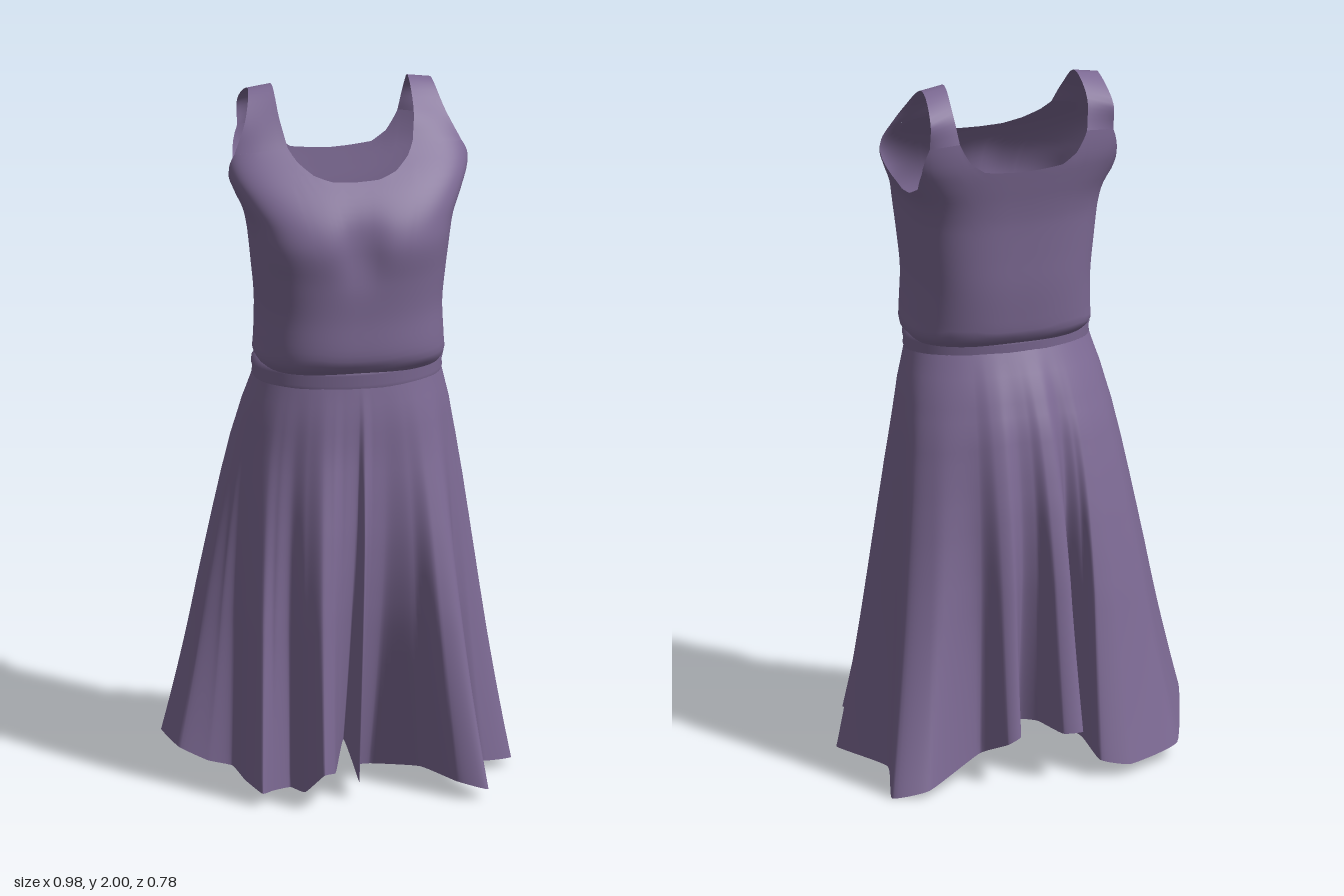
import * as THREE from 'three';

const CX = 0.03; // the bodice hangs slightly off centre
const { lerp, degToRad, radToDeg } = THREE.MathUtils;

// Piecewise linear lookup in [[key, value], ...]
function lookup(keys, k) {
  for (let i = 1; i < keys.length; i++) {
    if (k <= keys[i][0]) {
      const [k0, v0] = keys[i - 1], [k1, v1] = keys[i];
      return lerp(v0, v1, Math.max(0, (k - k0) / (k1 - k0)));
    }
  }
  return keys[keys.length - 1][1];
}

// Smooth cloth sheet from point(column, row); columns run leftwards, rows upwards
function sheet(cols, rows, closed, point) {
  const pos = [], index = [], n = closed ? cols : cols + 1;
  for (let j = 0; j <= rows; j++)
    for (let i = 0; i < n; i++) pos.push(...point(i, j).toArray());
  for (let j = 0; j < rows; j++) {
    for (let i = 0; i < cols; i++) {
      const i2 = (i + 1) % n;
      const a = j * n + i, b = j * n + i2, c = b + n, d = a + n;
      index.push(a, d, c, a, c, b);
    }
  }
  const g = new THREE.BufferGeometry();
  g.setAttribute('position', new THREE.Float32BufferAttribute(pos, 3));
  g.setIndex(index);
  g.computeVertexNormals();
  return g;
}

// Bodice sections: y, half width, front z, back z
const SECTIONS = [
  [1.225, 0.255, 0.195, -0.14], [1.25, 0.267, 0.228, -0.178], [1.29, 0.264, 0.24, -0.187],
  [1.4, 0.26, 0.236, -0.195], [1.5, 0.268, 0.24, -0.197], [1.6, 0.278, 0.248, -0.2],
  [1.66, 0.29, 0.232, -0.207], [1.72, 0.318, 0.195, -0.217], [1.78, 0.345, 0.142, -0.226],
  [1.85, 0.35, 0.07, -0.226], [1.9, 0.33, 0.02, -0.218],
];
const sectionCurve = new THREE.CatmullRomCurve3(
  SECTIONS.map(([, w, f, b]) => new THREE.Vector3(w, f, b)), false, 'catmullrom');
const sectionParam = SECTIONS.map(([y], i) => [y, i / (SECTIONS.length - 1)]);

// Height of the neckline and armhole edge by angle: -90 back, 0 side, 90 front
const EDGE = [
  [-90, 1.76], [-80, 1.77], [-74, 1.8], [-68, 1.86], [-48, 1.85], [-40, 1.77], [-30, 1.715],
  [-16, 1.69], [-6, 1.69], [0, 1.715], [8, 1.77], [18, 1.81], [28, 1.84], [70, 1.86],
  [74, 1.828], [80, 1.797], [86, 1.78], [90, 1.777],
];
const edgeHeight = deg => lookup(EDGE, radToDeg(Math.asin(Math.sin(degToRad(deg)))));

function bodicePoint(deg, y) {
  const s = sectionCurve.getPoint(lookup(sectionParam, y));
  const c = Math.cos(degToRad(deg)), d = Math.sin(degToRad(deg));
  const p = lerp(0.8, 0.62, Math.min(1, (y - 1.22) / 0.5));
  const x = s.x * Math.sign(c) * Math.abs(c) ** p;
  let z = (s.y + s.z) / 2 + (s.y - s.z) / 2 * Math.sign(d) * Math.abs(d) ** p;
  // hollow between the two sides of the bust
  if (d > 0) z -= 0.025 * Math.exp(-((x / 0.06) ** 2) - ((y - 1.6) / 0.09) ** 2);
  return new THREE.Vector3(CX + x, y, z);
}

function strapGeometry(side) {
  const cols = 8, rows = 24;
  const inner = [[0.192, 1.93, 0.0], [0.195, 2.0, -0.1], [0.2, 1.945, -0.187]];
  const outer = [[0.286, 1.92, -0.02], [0.262, 1.99, -0.1], [0.272, 1.925, -0.205]];
  const curves = [];
  for (let i = 0; i <= cols; i++) {
    const u = side > 0 ? 1 - i / cols : i / cols;
    const ends = [lerp(70, 28, u), lerp(-68, -48, u)].map(a => {
      const v = bodicePoint(a, edgeHeight(a));
      v.x = CX + side * (v.x - CX);
      return v;
    });
    const mids = inner.map((p, k) => new THREE.Vector3(
      CX + side * lerp(p[0], outer[k][0], u), lerp(p[1], outer[k][1], u), lerp(p[2], outer[k][2], u)));
    curves.push(new THREE.CatmullRomCurve3([ends[0], ...mids, ends[1]]));
  }
  return sheet(cols, rows, false, (i, j) => curves[i].getPoint(j / rows));
}

// Hem corners: x, z, y, and the waist angle each hangs from (0 front, 90 right, 180 back)
const HEM = [
  [0, 0.11, 0.12, 0], [-0.04, 0.22, 0.08, 8], [-0.07, 0.34, 0.1, 14], [-0.11, 0.385, 0.11, 20],
  [-0.15, 0.31, 0.04, 28], [-0.17, 0.2, 0.02, 36], [-0.23, 0.25, 0.03, 44], [-0.27, 0.3, 0.04, 52],
  [-0.3, 0.2, 0.05, 62], [-0.31, 0.07, 0.05, 72], [-0.38, 0.07, 0.07, 78], [-0.46, 0.055, 0.11, 86],
  [-0.49, -0.05, 0.13, 96], [-0.405, -0.28, 0.04, 118], [-0.23, -0.387, 0.03, 138],
  [-0.14, -0.38, 0.05, 148], [-0.13, -0.25, 0.08, 154], [-0.08, -0.13, 0.1, 160],
  [-0.09, -0.38, 0.14, 168], [-0.03, -0.38, 0.14, 174], [0, -0.25, 0.14, 180],
  [0.05, -0.22, 0.14, 186], [0.09, -0.367, 0.14, 194], [0.13, -0.367, 0.12, 200],
  [0.18, -0.27, 0.07, 208], [0.37, -0.39, 0.02, 232], [0.472, -0.36, 0.0, 246],
  [0.41, -0.15, 0.02, 262], [0.488, 0.06, 0.02, 278], [0.4, 0.11, 0.03, 288],
  [0.32, 0.12, 0.04, 297], [0.365, 0.355, 0.03, 312], [0.28, 0.33, 0.05, 322],
  [0.21, 0.15, 0.04, 333], [0.09, 0.04, 0.02, 344], [0.03, 0.11, 0.04, 352], [0.01, 0.285, 0.05, 357],
];

// Smooth upper skirt by depth t (0 waist, 1 hem): half width, half depth, centre x, centre z
const FLARE = [
  [0.262, 0.168, 0.025, 0.029], [0.288, 0.206, 0.024, 0.012], [0.304, 0.233, 0.022, -0.002],
  [0.315, 0.254, 0.02, -0.004], [0.322, 0.272, 0.018, -0.004], [0.327, 0.284, 0.016, -0.003],
  [0.33, 0.292, 0.014, -0.002],
];
const FLARE_STEP = 0.1;

// Point on the flared oval at depth t
function flarePoint(deg, t, y, grow = 0) {
  const [rx, rz, cx, cz] = FLARE[0].map((_, k) =>
    lookup(FLARE.map((f, i) => [i * FLARE_STEP, f[k]]), t));
  const a = degToRad(deg);
  return new THREE.Vector3(cx - (rx + grow) * Math.sin(a), y, cz + (rz + grow) * Math.cos(a));
}

function skirtGeometry() {
  const n = HEM.length, cols = n * 8, rows = 30;
  const hem = new THREE.CatmullRomCurve3(
    HEM.map(([x, z, y]) => new THREE.Vector3(x, y, z)), true, 'catmullrom', 0.22);
  const angles = [...HEM.map((h, i) => [i / n, h[3]]), [1, 360]];
  return sheet(cols, rows, true, (i, j) => {
    const t = 1 - j / rows;
    const low = hem.getPoint(i / cols);
    const y = lerp(1.215, Math.max(0, low.y), t);
    const p = flarePoint(lookup(angles, i / cols), t, y);
    // folds deepen towards the hem
    const fold = t ** 1.6;
    return p.set(lerp(p.x, low.x, fold), y, lerp(p.z, low.z, fold));
  });
}

// Rounded waistband profile: y, growth
const BAND = [[1.18, 0.004], [1.195, 0.008], [1.21, 0.006], [1.225, 0.01], [1.24, 0.008], [1.25, -0.005]];

export function createModel() {
  const dress = new THREE.Group();
  dress.name = 'dress';
  const cloth = new THREE.MeshStandardMaterial({ color: 0x7d6a94, side: THREE.DoubleSide });
  cloth.name = 'purple cloth';
  const add = (name, geometry) => {
    const mesh = new THREE.Mesh(geometry, cloth);
    mesh.name = name;
    dress.add(mesh);
  };

  add('bodice', sheet(180, 32, true, (i, j) =>
    bodicePoint(i * 2, lerp(1.225, edgeHeight(i * 2), j / 32))));
  add('leftStrap', strapGeometry(1));
  add('rightStrap', strapGeometry(-1));
  add('waistband', sheet(72, BAND.length - 1, true, (i, j) =>
    flarePoint(i * 5, 0, ...BAND[j])));
  add('skirt', skirtGeometry());
  return dress;
}
